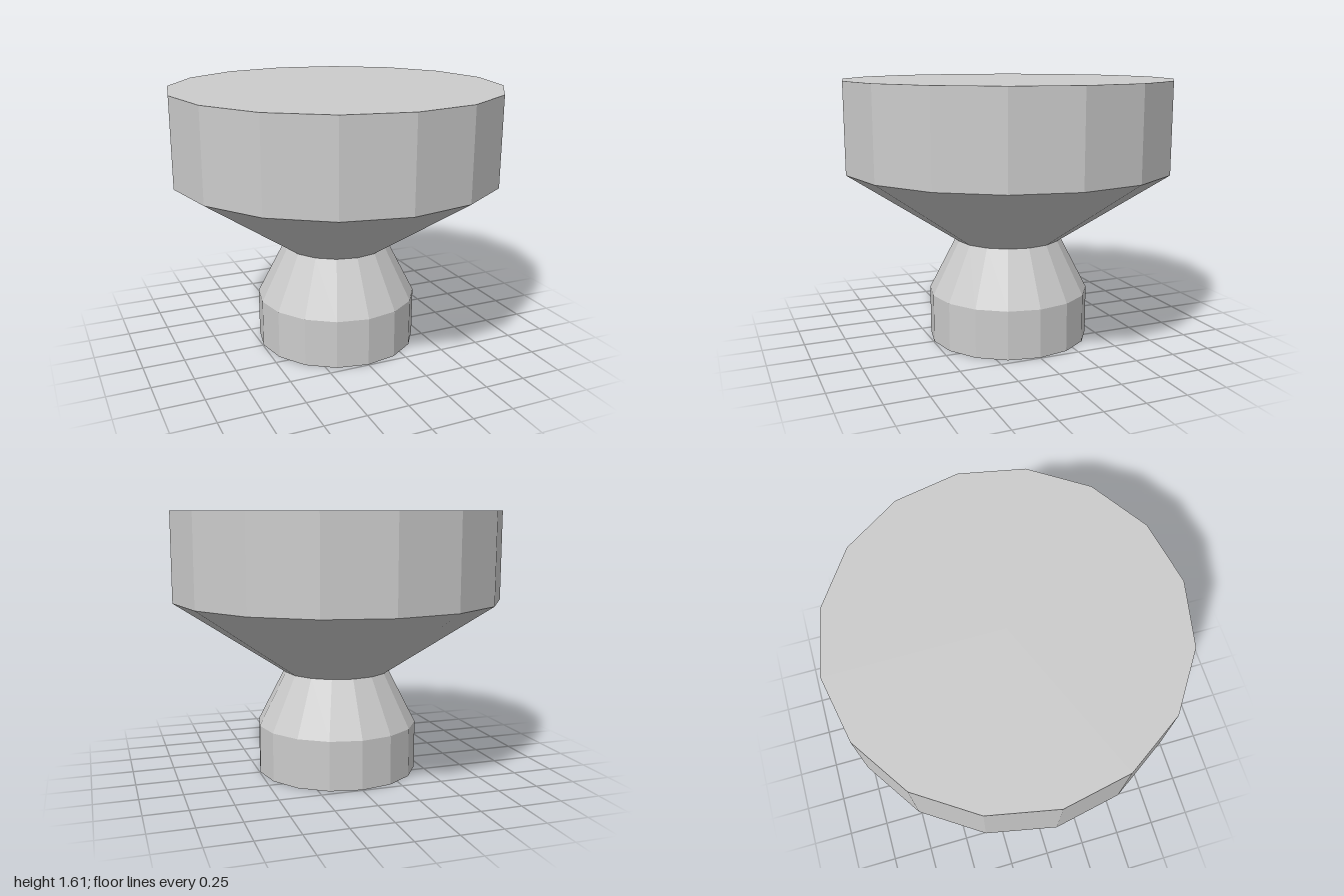
import * as THREE from 'three';

const SIDES = 16;

export function createModel() {
  const group = new THREE.Group();
  group.name = 'knob';
  const material = new THREE.MeshStandardMaterial({ color: 0xcccccc, flatShading: true });

  // One faceted, lathe-turned part from [radius, height] pairs, bottom to top
  function turned(name, profile) {
    const points = profile.map(([r, y]) => new THREE.Vector2(r, y));
    const mesh = new THREE.Mesh(new THREE.LatheGeometry(points, SIDES), material);
    mesh.name = name;
    group.add(mesh);
  }

  // Foot: closed underneath, tapering up to the neck
  turned('foot', [[0, 0], [0.495, 0], [0.495, 0.297], [0.326, 0.625]]);

  // Head: flares from the neck to a wide drum with a flat top
  turned('head', [[0.326, 0.625], [1, 1.073], [1, 1.605], [0, 1.605]]);

  return group;
}
